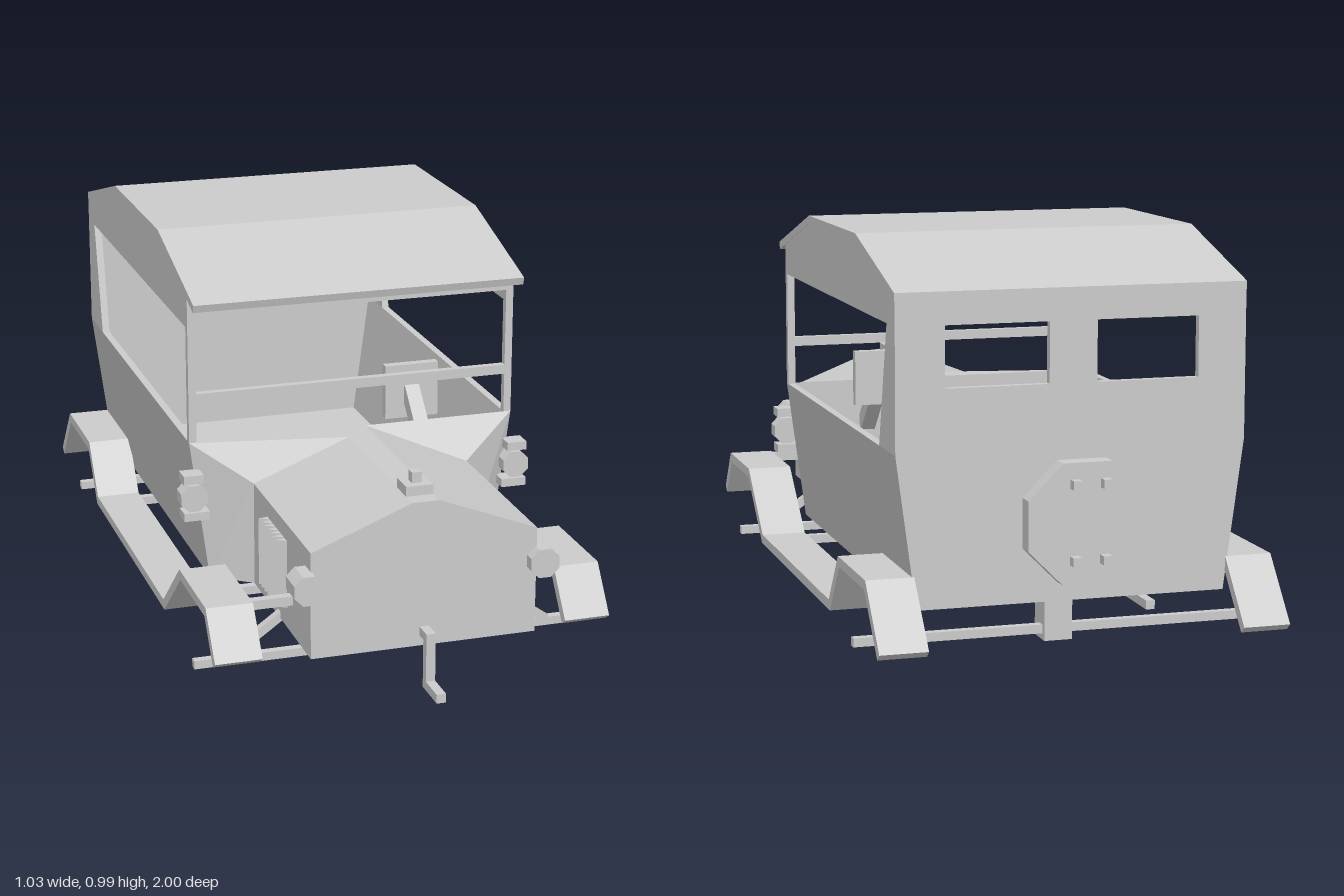
import * as THREE from 'three';

const material = new THREE.MeshStandardMaterial({ color: 0xcccccc, flatShading: true });

export function createModel() {
  const model = new THREE.Group();

  const add = (name, geometry) => {
    const mesh = new THREE.Mesh(geometry, material);
    mesh.name = name;
    model.add(mesh);
    return mesh;
  };
  // Box given by its extents on each axis
  const box = (name, [x0, x1], [y0, y1], [z0, z1]) =>
    add(name, new THREE.BoxGeometry(Math.abs(x1 - x0), y1 - y0, z1 - z0)
      .translate((x0 + x1) / 2, (y0 + y1) / 2, (z0 + z1) / 2));
  const shapeOf = (points) => new THREE.Shape(points.map(([a, b]) => new THREE.Vector2(a, b)));
  const extrude = (shape, depth) => new THREE.ExtrudeGeometry(shape, { depth, bevelEnabled: false });
  // Side profile of (z, y) points, extruded across x
  const sideProfile = (name, points, x0, x1) =>
    add(name, extrude(shapeOf(points), x1 - x0).rotateY(-Math.PI / 2).translate(x1, 0, 0));
  // Square bar between two points
  const bar = (name, from, to, t = 0.022) => {
    const a = new THREE.Vector3(...from), b = new THREE.Vector3(...to);
    const mesh = add(name, new THREE.BoxGeometry(t, t, a.distanceTo(b)));
    mesh.position.copy(a).add(b).multiplyScalar(0.5);
    mesh.lookAt(b);
  };
  // Eight-sided drum with its axis along z and a flat side on top
  const drum = (name, r, x, y, z0, z1) =>
    add(name, new THREE.CylinderGeometry(r, r, z1 - z0, 8).rotateY(Math.PI / 8)
      .rotateX(Math.PI / 2).translate(x, y, (z0 + z1) / 2));
  // Outline of a centre line thickened with mitred corners
  const thicken = (line, t) => {
    const p = line.map(([a, b]) => new THREE.Vector2(a, b));
    const normal = (i) => {
      const d = p[i + 1].clone().sub(p[i]).normalize();
      return new THREE.Vector2(-d.y, d.x);
    };
    const offset = p.map((_, i) => {
      const n0 = normal(Math.max(i - 1, 0)), n1 = normal(Math.min(i, p.length - 2));
      const m = n0.clone().add(n1).normalize();
      return m.multiplyScalar(t / 2 / m.dot(n0));
    });
    const edge = (s) => p.map((q, i) => [q.x + s * offset[i].x, q.y + s * offset[i].y]);
    return [...edge(1), ...edge(-1).reverse()];
  };
  // Closed loft through sections ordered front to back, counter-clockwise from the front
  const loft = (name, sections) => {
    const n = sections[0].points.length, index = [];
    const pos = sections.flatMap(({ z, points }) => points.flatMap(([x, y]) => [x, y, z]));
    for (let s = 0; s < sections.length - 1; s++) {
      for (let i = 0; i < n; i++) {
        const a = s * n + i, b = s * n + (i + 1) % n;
        index.push(a, a + n, b + n, a, b + n, b);
      }
    }
    const last = (sections.length - 1) * n;
    for (let i = 1; i < n - 1; i++) index.push(0, i, i + 1, last, last + i + 1, last + i);
    const g = new THREE.BufferGeometry();
    g.setAttribute('position', new THREE.Float32BufferAttribute(pos, 3));
    g.setIndex(index);
    const flat = g.toNonIndexed();
    flat.computeVertexNormals();
    add(name, flat);
  };

  // Hood flaring out into the cowl
  const hoodSection = [[-0.29, 0.13], [0.29, 0.13], [0.29, 0.405], [0.035, 0.505], [-0.035, 0.505], [-0.29, 0.405]];
  const cowlSection = [[-0.39, 0.13], [0.39, 0.13], [0.44, 0.505], [0.035, 0.505], [-0.035, 0.505], [-0.44, 0.505]];
  loft('hood', [
    { z: 0.87, points: hoodSection },
    { z: 0.37, points: hoodSection },
    { z: 0.295, points: cowlSection },
  ]);
  box('radiatorCapBase', [-0.035, 0.035], [0.5, 0.53], [0.755, 0.825]);
  box('radiatorCap', [-0.013, 0.013], [0.53, 0.557], [0.777, 0.803]);

  // Open tub: floor and tapering lower sides
  add('bodyTub', extrude(shapeOf([
    [-0.39, 0.13], [0.39, 0.13], [0.44, 0.505], [0.42, 0.505],
    [0.373, 0.15], [-0.373, 0.15], [-0.42, 0.505], [-0.44, 0.505],
  ]), 1.147).translate(0, 0, -0.852));

  // Rear wall with two windows
  const rear = shapeOf([[-0.39, 0.13], [0.39, 0.13], [0.44, 0.505], [0.44, 0.885], [-0.44, 0.885], [-0.44, 0.505]]);
  for (const s of [1, -1]) {
    rear.holes.push(shapeOf([[s * 0.06, 0.66], [s * 0.06, 0.81], [s * 0.318, 0.81], [s * 0.318, 0.66]]));
  }
  add('rearWall', extrude(rear, 0.02).translate(0, 0, -0.87));

  // Upper side frames and roof with a front visor
  const sideFrame = [
    [0.295, 0.505], [0.295, 0.9], [0, 0.985], [-0.5, 0.985], [-0.868, 0.88], [-0.868, 0.505],
    [-0.72, 0.505], [-0.795, 0.81], [0.275, 0.81], [0.275, 0.505],
  ];
  sideProfile('leftSideFrame', sideFrame, 0.42, 0.44);
  sideProfile('rightSideFrame', sideFrame, -0.44, -0.42);
  sideProfile('roof', [
    [0.366, 0.891], [0, 0.995], [-0.5, 0.995], [-0.87, 0.89],
    [-0.87, 0.87], [-0.5, 0.975], [0, 0.975], [0.36, 0.871],
  ], -0.441, 0.441);

  // Windshield bars
  box('windshieldMiddleBar', [-0.42, 0.42], [0.61, 0.635], [0.275, 0.295]);
  box('windshieldTopBar', [-0.42, 0.42], [0.84, 0.89], [0.275, 0.295]);

  // Steering
  box('steeringWheel', [0.14, 0.288], [0.462, 0.61], [0.12, 0.145]);
  bar('steeringColumn', [0.213, 0.54, 0.135], [0.213, 0.38, 0.295], 0.04);

  const fenderLine = [
    [0.805, 0.113], [0.725, 0.222], [0.475, 0.222], [0.295, 0.067],
    [-0.505, 0.067], [-0.605, 0.2], [-0.865, 0.2], [-0.99, 0.055],
  ];
  for (const s of [1, -1]) {
    const side = s > 0 ? 'left' : 'right';

    // Running board with its fenders
    const [x0, x1] = s > 0 ? [0.395, 0.515] : [-0.515, -0.395];
    sideProfile(side + 'Fender', thicken(fenderLine, 0.025), x0, x1);
    box(side + 'FenderBracket', [s * 0.28, s * 0.4], [0.21, 0.234], [0.697, 0.72]);
    bar(side + 'AxleBrace', [s * 0.43, 0.035, 0.6], [s * 0.275, 0.145, 0.6]);

    // Headlight
    drum(side + 'Headlight', 0.04, s * 0.302, 0.32, 0.825, 0.9);

    // Cowl lamp between two brackets
    drum(side + 'CowlLamp', 0.038, s * 0.44, 0.37, 0.297, 0.343);
    box(side + 'LampTopBracket', [s * 0.415, s * 0.468], [0.41, 0.433], [0.295, 0.345]);
    box(side + 'LampBottomBracket', [s * 0.4, s * 0.468], [0.31, 0.332], [0.295, 0.345]);

    // Hood louvers
    for (let i = 0; i < 7; i++) {
      const z = 0.495 + i * 0.0255;
      const louver = shapeOf([[s * 0.285, -z], [s * 0.315, -z - 0.006], [s * 0.285, -z - 0.0255]]);
      add(side + 'Louver', extrude(louver, 0.178).rotateX(-Math.PI / 2).translate(0, 0.183, 0));
    }
  }

  // Axles and undercarriage
  box('frontAxle', [-0.515, 0.515], [0.02, 0.042], [0.589, 0.611]);
  box('rearAxle', [-0.515, 0.515], [0.02, 0.042], [-0.751, -0.729]);
  box('differential', [-0.036, 0.036], [0.004, 0.132], [-0.766, -0.69]);
  box('oilPan', [-0.06, 0.06], [0.057, 0.132], [0.375, 0.548]);
  box('driveShaft', [-0.011, 0.011], [0.075, 0.097], [-0.7, 0.4]);
  box('exhaustPipe', [-0.19, -0.168], [0.108, 0.13], [-0.93, 0.5]);
  for (const z of [0.26, -0.47]) box('boardCrossBar', [-0.4, 0.4], [0.056, 0.079], [z - 0.011, z + 0.011]);

  // Starting crank
  sideProfile('crank', [
    [0.86, 0.157], [0.898, 0.157], [0.898, 0.032], [1, 0.032],
    [1, 0.055], [0.921, 0.055], [0.921, 0.18], [0.86, 0.18],
  ], -0.012, 0.012);

  // Spare wheel with four mounting studs
  drum('spareWheel', 0.16, -0.012, 0.333, -0.945, -0.898);
  for (const x of [-0.055, 0.021]) {
    for (const y of [0.245, 0.43]) box('spareStud', [x - 0.011, x + 0.011], [y - 0.011, y + 0.011], [-0.972, -0.865]);
  }

  return model;
}
